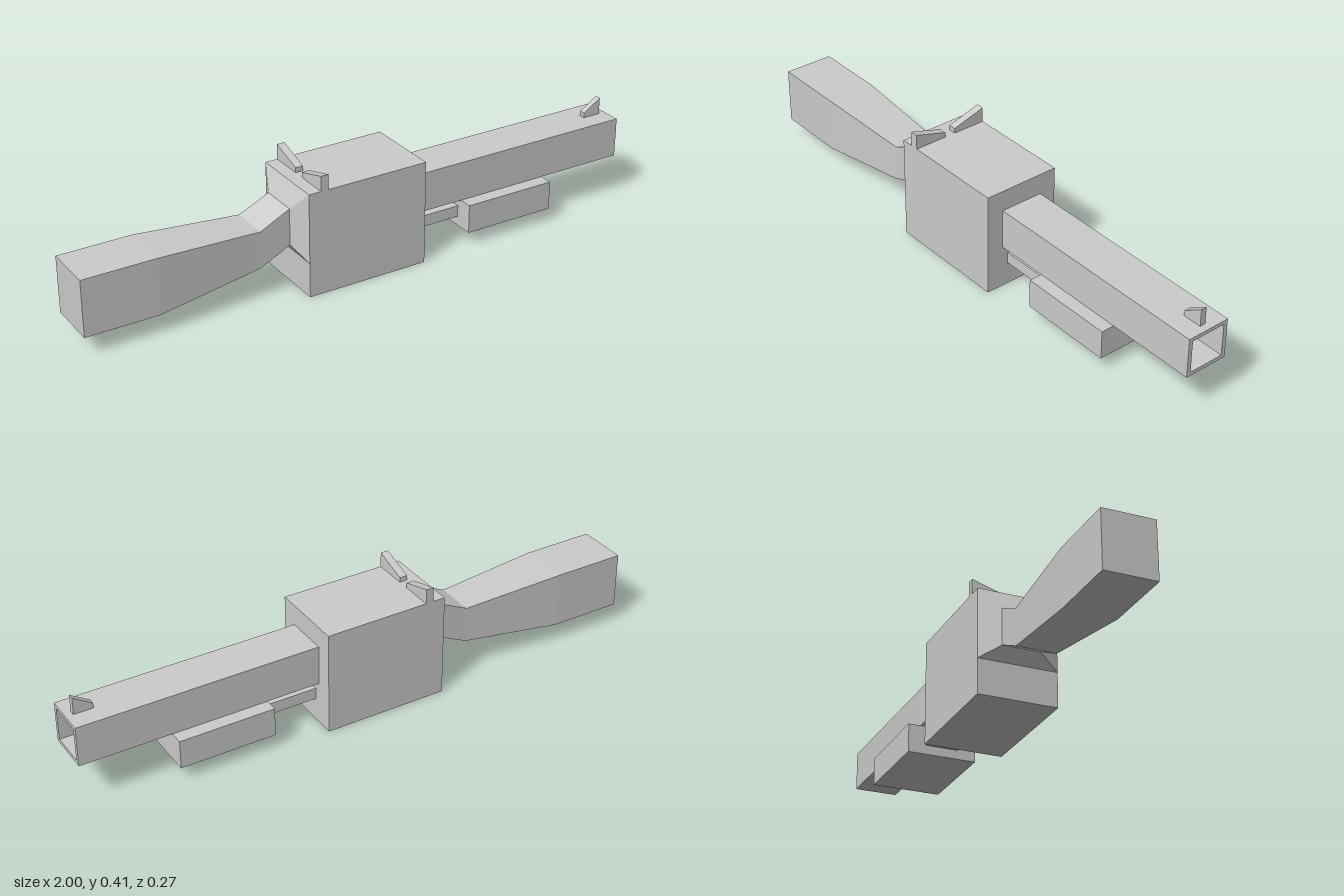
import * as THREE from 'three';

const material = new THREE.MeshStandardMaterial({ color: 0xcccccc, flatShading: true });

function add(group, name, geometry) {
  const mesh = new THREE.Mesh(geometry, material);
  mesh.name = name;
  group.add(mesh);
  return mesh;
}

// Box given by its limits in x and y, and its half width in z
function block(x0, x1, y0, y1, hz) {
  return new THREE.BoxGeometry(x1 - x0, y1 - y0, 2 * hz)
    .translate((x0 + x1) / 2, (y0 + y1) / 2, 0);
}

// Rectangular cross-sections [x, bottom, top, half width] joined along +x
function loft(sections) {
  const pos = [], idx = [];
  for (const [x, b, t, h] of sections) pos.push(x, b, h, x, b, -h, x, t, -h, x, t, h);
  const last = (sections.length - 1) * 4;
  for (let s = 0; s < last; s += 4) {
    for (let i = 0; i < 4; i++) {
      const a = s + i, b = s + (i + 1) % 4;
      idx.push(a, b, b + 4, a, b + 4, a + 4);
    }
  }
  idx.push(0, 2, 1, 0, 3, 2, last, last + 1, last + 2, last, last + 2, last + 3);
  const g = new THREE.BufferGeometry();
  g.setAttribute('position', new THREE.Float32BufferAttribute(pos, 3));
  g.setIndex(idx);
  const flat = g.toNonIndexed();
  flat.computeVertexNormals();
  return flat;
}

function polygon(points) {
  return new THREE.Shape(points.map(([x, y]) => new THREE.Vector2(x, y)));
}

function rectangle(hz, y0, y1) {
  return [[-hz, y0], [hz, y0], [hz, y1], [-hz, y1]];
}

function extrude(shape, depth) {
  return new THREE.ExtrudeGeometry(shape, { depth, bevelEnabled: false });
}

export function createModel() {
  const model = new THREE.Group();

  add(model, 'receiver', block(-0.255, 0.175, 0, 0.36, 0.135));

  // Stock: straight butt, tapering wrist and flared collar
  add(model, 'stock', loft([
    [-1, 0.067, 0.262, 0.0875],
    [-0.75, 0.067, 0.262, 0.0875],
    [-0.39, 0.113, 0.24, 0.068],
    [-0.285, 0.163, 0.29, 0.066],
    [-0.255, 0.12, 0.36, 0.135],
  ]));

  // Hollow square barrel, extruded along +x
  const section = polygon(rectangle(0.076, 0.15, 0.288));
  section.holes.push(polygon(rectangle(0.0615, 0.163, 0.275)));
  add(model, 'barrel', extrude(section, 0.825).rotateY(Math.PI / 2).translate(0.175, 0, 0));

  // Pump grip below the barrel
  add(model, 'pumpRod', block(0.175, 0.36, 0.08, 0.12, 0.055));
  add(model, 'pumpGrip', block(0.36, 0.69, 0.048, 0.148, 0.12));

  // Front sight: thin ramp at the muzzle
  const ramp = polygon([[0.91, 0.288], [0.975, 0.288], [0.975, 0.347], [0.91, 0.306]]);
  add(model, 'frontSight', extrude(ramp, 0.02).translate(0, 0, -0.01));

  // Rear sight: two wings rising outwards from a centre notch
  for (const side of [1, -1]) {
    const wing = polygon([[0.019, 0.36], [0.135, 0.36], [0.135, 0.412], [0.019, 0.377]]
      .map(([z, y]) => [side * z, y]));
    add(model, side > 0 ? 'rearSightBack' : 'rearSightFront',
      extrude(wing, 0.027).rotateY(Math.PI / 2).translate(-0.212, 0, 0));
  }
  return model;
}
